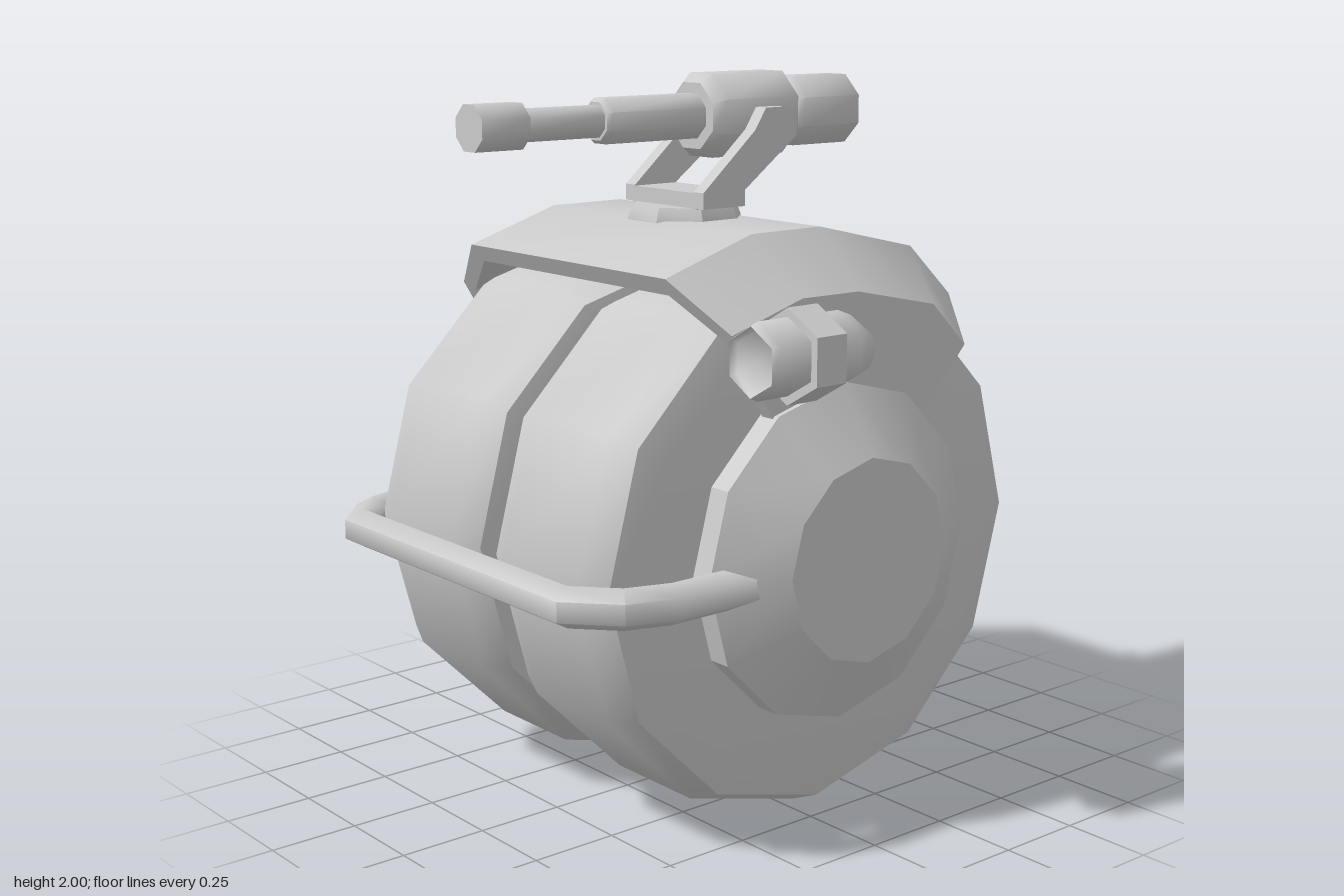
import * as THREE from 'three';
import { toCreasedNormals } from 'three/addons/utils/BufferGeometryUtils.js';

const material = new THREE.MeshStandardMaterial({ color: 0xcccccc });
const CX = -0.06, AXLE_Y = 0.76, AXLE_Z = -0.05;

function add(parent, name, geometry, x = 0, y = 0, z = 0) {
  const mesh = new THREE.Mesh(geometry, material);
  mesh.name = name;
  mesh.position.set(x, y, z);
  parent.add(mesh);
  return mesh;
}

// Turned solid from [along, radius] pairs, lying along 'x', 'y' or 'z'
function turned(points, sides, axis, crease, turn = 0) {
  const g = new THREE.LatheGeometry(points.map(([a, r]) => new THREE.Vector2(r, a)), sides);
  g.rotateY(turn);
  if (axis === 'x') g.rotateZ(-Math.PI / 2);
  if (axis === 'z') g.rotateX(Math.PI / 2);
  return toCreasedNormals(g, crease);
}

// Skin over equal rings of points, ends closed by quads across each ring
function loft(rings, crease) {
  const n = rings[0].length, last = rings.length - 1, index = [];
  const quad = (a, b, c, d) => index.push(a, b, c, a, c, d);
  for (let k = 0; k < last; k++) {
    for (let i = 0; i < n; i++) {
      const j = (i + 1) % n;
      quad(k * n + i, k * n + j, (k + 1) * n + j, (k + 1) * n + i);
    }
  }
  for (let i = 0; i < n / 2 - 1; i++) {
    const e = last * n;
    quad(n - 1 - i, n - 2 - i, i + 1, i);
    quad(e + i, e + i + 1, e + n - 2 - i, e + n - 1 - i);
  }
  const g = new THREE.BufferGeometry();
  g.setAttribute('position', new THREE.Float32BufferAttribute(rings.flat(2), 3));
  g.setIndex(index);
  return toCreasedNormals(g, crease);
}

function wheels(root) {
  const tyre = [[-0.267, 0], [-0.267, 0.63], [-0.245, 0.72], [-0.155, 0.76],
    [0.155, 0.76], [0.245, 0.72], [0.267, 0.63], [0.267, 0]];
  const hub = [[0.5, 0], [0.5, 0.465], [0.615, 0.465], [0.725, 0.28], [0.725, 0]];
  for (const side of [-1, 1]) {
    const name = side > 0 ? 'left' : 'right';
    add(root, name + 'Wheel', turned(tyre, 12, 'x', 0.7), CX + side * 0.283, AXLE_Y, AXLE_Z);
    const cap = add(root, name + 'Hub', turned(hub, 12, 'x', 0.45), CX, AXLE_Y, AXLE_Z);
    if (side < 0) cap.rotation.y = Math.PI;
  }
  add(root, 'axle', turned([[-0.06, 0], [-0.06, 0.535], [0.06, 0.535], [0.06, 0]], 12, 'x', 0.7),
    CX, AXLE_Y, AXLE_Z);
}

// Channel-shaped cover swept round the axle
function fender(root) {
  const stations = [[58.8, 0.888], [78.7, 0.867], [95, 0.854], [118.6, 0.877], [133, 0.85]];
  const rings = stations.map(([degrees, top]) => {
    const a = THREE.MathUtils.degToRad(degrees), shoulder = top - 0.155;
    const half = [[0.6, 0.45], [0.6, shoulder], [0.435, top]];
    const inner = [[0.415, top - 0.055], [0.56, shoulder - 0.025], [0.56, 0.45]];
    const mirror = (list) => list.map(([w, r]) => [-w, r]).reverse();
    const section = [...mirror([...half].reverse()), ...[...half].reverse(),
      ...[...inner].reverse(), ...mirror(inner).reverse()];
    return section.map(([w, r]) => [w, r * Math.sin(a), r * Math.cos(a)]);
  });
  add(root, 'fender', loft(rings, 0.5), CX, AXLE_Y, AXLE_Z);
}

// Bent six-sided bar, mitred at every bend
function bumper(root) {
  const halfPath = [[0.63, 0.3], [0.63, 0.55], [0.59, 0.67], [0.485, 0.765]];
  const path = [...halfPath.map(([x, z]) => [-x, z]), ...[...halfPath].reverse()]
    .map(([x, z]) => new THREE.Vector3(x, 0, z));
  const up = new THREE.Vector3(0, 1, 0);
  const rings = path.map((p, k) => {
    const before = p.clone().sub(path[Math.max(k - 1, 0)]).normalize();
    const after = path[Math.min(k + 1, path.length - 1)].clone().sub(p).normalize();
    const along = before.clone().add(after).normalize();
    const stretch = 1 / along.dot(before.lengthSq() ? before : after);
    const out = up.clone().cross(along).multiplyScalar(stretch);
    return Array.from({ length: 6 }, (_, i) => {
      const a = Math.PI / 6 + i * Math.PI / 3;
      return p.clone().addScaledVector(out, 0.055 * Math.cos(a))
        .addScaledVector(up, 0.055 * Math.sin(a)).toArray();
    });
  });
  add(root, 'bumper', loft(rings, 1.1), CX, 0.74, 0);
}

function turret(root) {
  const group = new THREE.Group();
  group.name = 'turret';
  group.position.x = CX;
  root.add(group);
  const eighth = Math.PI / 8;
  add(group, 'turntable', turned([[1.58, 0], [1.58, 0.165], [1.61, 0.165], [1.645, 0.15], [1.645, 0]],
    8, 'y', 0.5, eighth), 0, 0, -0.015);

  // Forked mount leaning backwards
  add(group, 'mountBase', new THREE.BoxGeometry(0.28, 0.045, 0.15), 0, 1.665, -0.015);
  const outline = [[0.06, 1.645], [0.06, 1.69], [-0.125, 1.85], [-0.165, 1.91], [-0.235, 1.91],
    [-0.28, 1.87], [-0.28, 1.83], [-0.09, 1.69], [-0.09, 1.645]];
  const shape = new THREE.Shape(outline.map(([z, y]) => new THREE.Vector2(z, y)));
  const arm = new THREE.ExtrudeGeometry(shape, { depth: 0.042, bevelEnabled: false });
  arm.rotateY(-Math.PI / 2);
  add(group, 'leftMountArm', arm, 0.17);
  add(group, 'rightMountArm', arm, -0.128);
  add(group, 'pivot', turned([[-0.13, 0], [-0.13, 0.035], [0.13, 0.035], [0.13, 0]], 8, 'x', 0.9),
    0, 1.86, -0.2);

  // Gun parts share one axis, each an octagonal turned piece
  const pieces = {
    rearCanister: [[-0.62, 0], [-0.62, 0.07], [-0.59, 0.106], [-0.385, 0.106], [-0.365, 0.09], [-0.365, 0]],
    neck: [[-0.38, 0], [-0.38, 0.075], [-0.32, 0.075], [-0.32, 0]],
    receiver: [[-0.335, 0], [-0.335, 0.125], [-0.075, 0.125], [-0.04, 0.098], [-0.04, 0]],
    barrelSleeve: [[-0.06, 0], [-0.06, 0.066], [0.28, 0.066], [0.295, 0.055], [0.295, 0]],
    barrel: [[0.28, 0], [0.28, 0.046], [0.56, 0.046], [0.56, 0]],
    muzzle: [[0.55, 0], [0.55, 0.065], [0.7, 0.065], [0.7, 0]],
  };
  for (const [name, points] of Object.entries(pieces)) {
    add(group, name, turned(points, 8, 'z', 0.9, eighth), 0, 1.885, 0);
  }
}

function sideLamp(root) {
  const group = new THREE.Group();
  group.name = 'sideLamp';
  group.position.set(0.67, 1.345, 0);
  root.add(group);
  add(group, 'lampBody', turned([[-0.005, 0], [-0.005, 0.045], [0.045, 0.083], [0.09, 0.1], [0.36, 0.1],
    [0.382, 0.09], [0.365, 0.078], [0.365, 0]], 6, 'z', 1.1));
  add(group, 'lampBand', turned([[0.16, 0.095], [0.16, 0.124], [0.26, 0.124], [0.26, 0.095]], 6, 'z', 0.5));
  for (const y of [-0.035, 0.05]) {
    add(group, 'lampStrap', new THREE.BoxGeometry(0.07, 0.012, 0.1), -0.125, y, 0.21);
  }
}

export function createModel() {
  const root = new THREE.Group();
  root.name = 'gunBike';
  wheels(root);
  fender(root);
  bumper(root);
  turret(root);
  sideLamp(root);
  return root;
}
